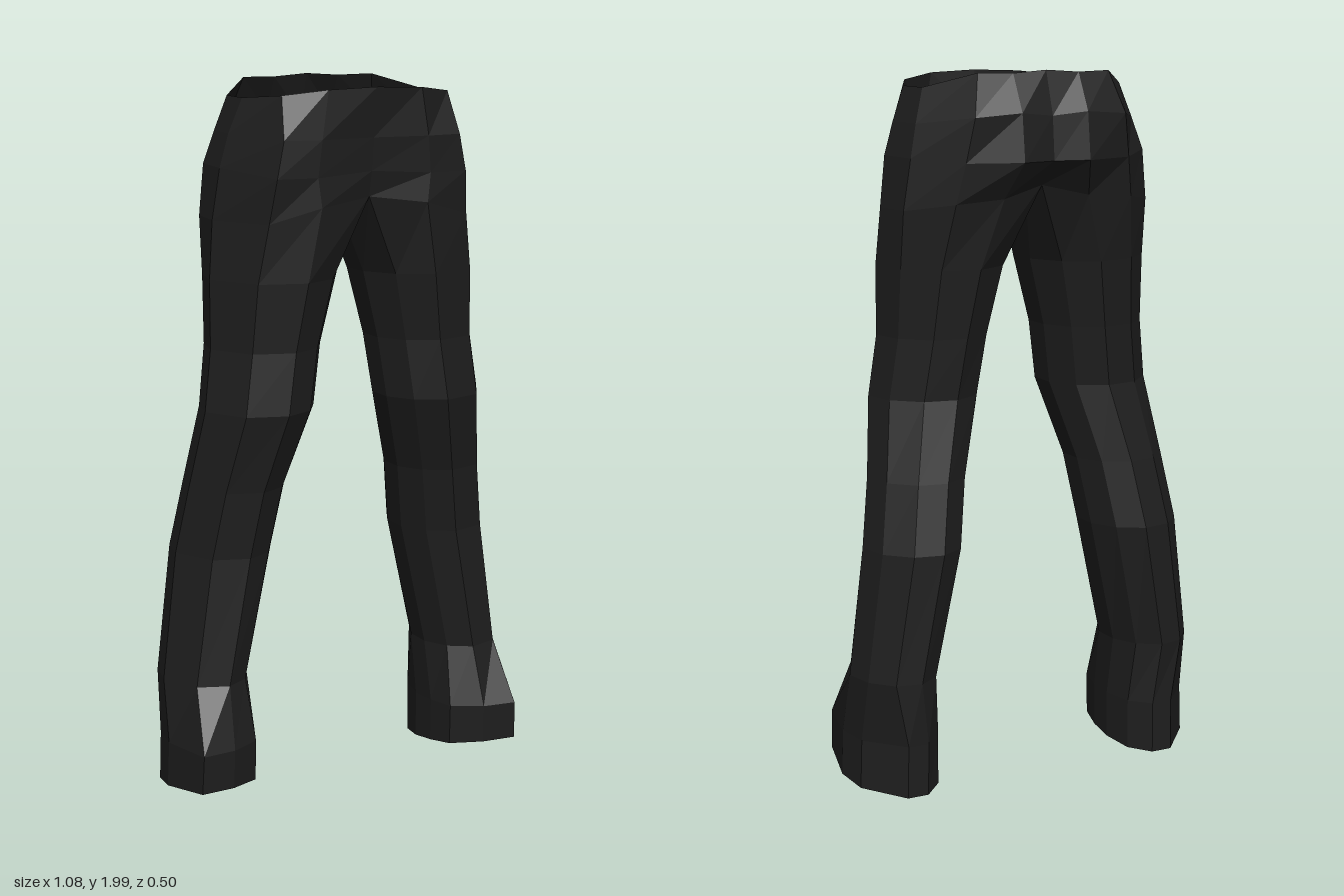
import * as THREE from 'three';

// Leg cross-section, front-inner -> outside -> back-inner -> inside.
// u: 0 inner .. 1 outer, v: 0 back .. 1 front
const SECTION = [[.15, .87], [.42, 1], [.78, .9], [1, .54], [.93, .26], [.7, .05], [.4, 0], [.14, .14], [0, .38], [0, .64]];
const HEM = [[.1, .84], [.45, .97], [.85, 1], [1, .56], [.94, .3], [.55, .02], [.3, .02], [.08, .16], [0, .4], [.02, .62]];

// Leg levels: y, inner x, outer x, front z, back z, section, rise towards the front
const LEG = [
  [.01, .29, .54, .18, -.185, HEM, .05],
  [.16, .29, .535, .185, -.187, HEM, .01],
  [.34, .29, .53, .122, -.19, SECTION, 0],
  [.7, .21, .487, .125, -.2, SECTION, 0],
  [.89, .18, .457, .152, -.165, SECTION, 0],
  [1.11, .115, .427, .21, -.122, SECTION, 0],
  [1.28, .09, .405, .205, -.137, SECTION, 0],
  [1.47, .042, .405, .226, -.162, SECTION, 0],
];

// Top of the leg; the last two points run along the crotch seam
const CROTCH = [[0, 1.69, .2], [.16, 1.67, .238], [.3, 1.63, .205], [.392, 1.63, .04], [.378, 1.63, -.08],
  [.27, 1.65, -.18], [.13, 1.66, -.19], [0, 1.69, -.16], [0, 1.63, -.07], [0, 1.6, .06]];

// Hip levels from the front centre round the side to the back centre
const HIPS = [
  CROTCH.slice(0, 8),
  [[0, 1.76, .215], [.17, 1.75, .235], [.285, 1.75, .225], [.373, 1.77, .05], [.36, 1.77, -.09], [.25, 1.76, -.2], [.1, 1.76, -.25], [0, 1.76, -.23]],
  [[0, 1.85, .225], [.16, 1.85, .24], [.265, 1.85, .225], [.347, 1.86, .05], [.335, 1.86, -.07], [.23, 1.88, -.215], [.1, 1.89, -.235], [0, 1.88, -.22]],
  [[0, 1.985, .247], [.14, 1.98, .237], [.25, 1.965, .18], [.31, 1.955, .06], [.305, 1.955, -.05], [.2, 1.995, -.17], [.1, 1.993, -.182], [0, 2, -.182]],
];

// Flat-shaded skin over rows of points; side = -1 mirrors it in x
function skin(rows, closed, side) {
  const pos = [];
  const put = p => pos.push(p[0] * side, p[1], p[2]);
  for (let i = 0; i < rows.length - 1; i++) {
    const n = rows[i].length;
    for (let k = 0; k < (closed ? n : n - 1); k++) {
      const m = (k + 1) % n;
      const q = [rows[i][k], rows[i][m], rows[i + 1][m], rows[i + 1][k]];
      if (side < 0) q.reverse();
      [0, 1, 2, 0, 2, 3].forEach(j => put(q[j]));
    }
  }
  const g = new THREE.BufferGeometry();
  g.setAttribute('position', new THREE.Float32BufferAttribute(pos, 3));
  g.computeVertexNormals();
  return g;
}

export function createModel() {
  const cloth = new THREE.MeshStandardMaterial({ color: 0x1e1e1e, flatShading: true, side: THREE.DoubleSide });
  cloth.name = 'black cloth';

  const legRows = LEG.map(([y, xi, xo, zf, zb, section, rise]) =>
    section.map(([u, v]) => [xi + (xo - xi) * u, y + rise * v, zb + (zf - zb) * v]));
  legRows.push(CROTCH);

  const trousers = new THREE.Group();
  trousers.name = 'trousers';
  for (const [label, side] of [['left', 1], ['right', -1]]) {
    // Open trouser leg
    const leg = new THREE.Mesh(skin(legRows, true, side), cloth);
    leg.name = label + 'Leg';
    // Half of the seat and waist, open at the top
    const hip = new THREE.Mesh(skin(HIPS, false, side), cloth);
    hip.name = label + 'Hip';
    trousers.add(leg, hip);
  }
  return trousers;
}
